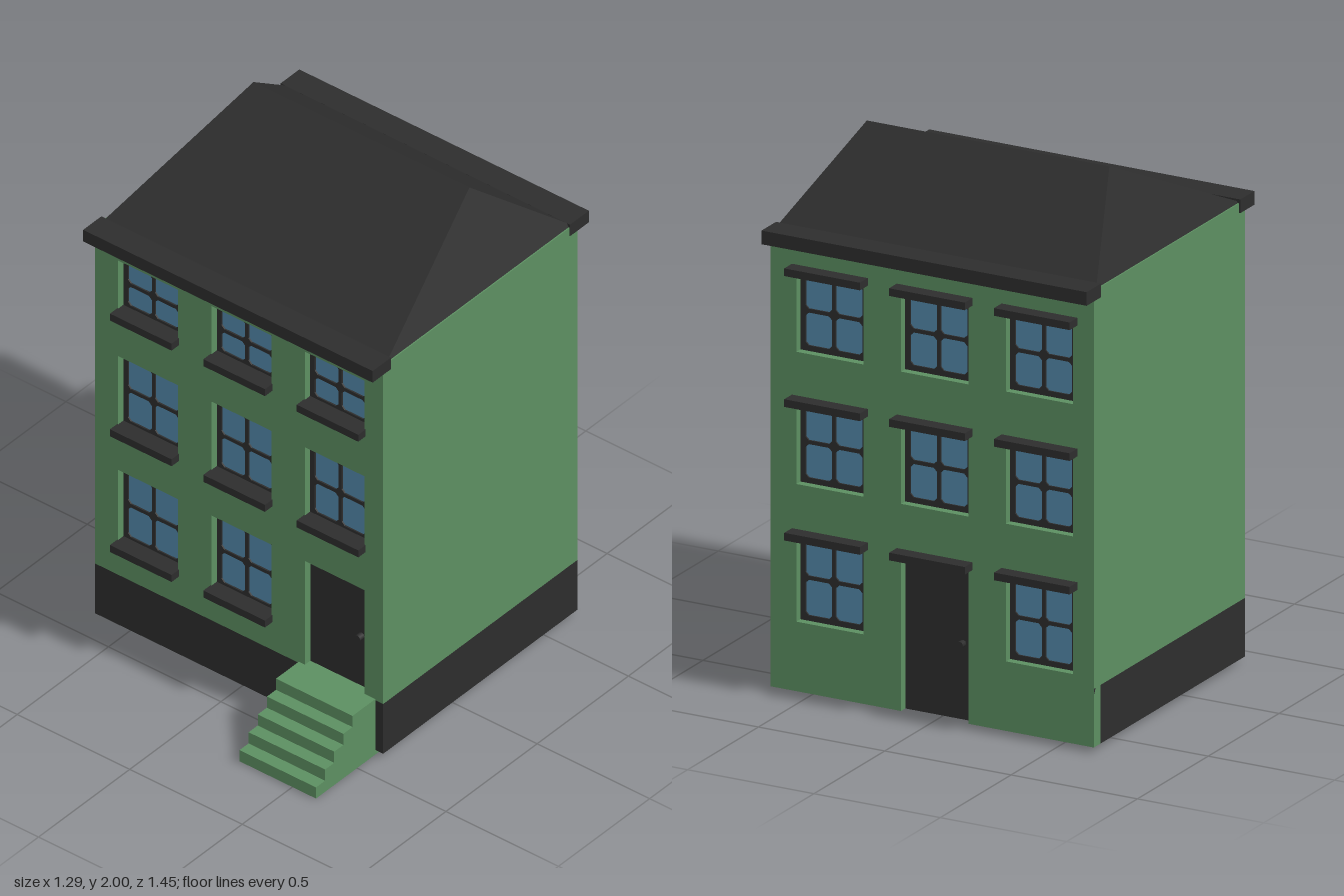
import * as THREE from 'three';

const mat = (name, color) => {
  const m = new THREE.MeshStandardMaterial({ color, side: THREE.DoubleSide });
  m.name = name;
  return m;
};

export function createModel() {
  const green = mat('green wall', 0x5c8f61);
  const dark = mat('charcoal trim', 0x2d2d2d);
  const blue = mat('blue glass', 0x5389ab);

  const house = new THREE.Group();
  house.name = 'townHouse';

  const add = (parent, name, geometry, material) => {
    const mesh = new THREE.Mesh(geometry, material);
    mesh.name = name;
    parent.add(mesh);
    return mesh;
  };
  // box given by its lower and upper limits on each axis
  const box = (parent, name, material, x0, x1, y0, y1, z0, z1) => {
    const mesh = add(parent, name, new THREE.BoxGeometry(x1 - x0, y1 - y0, z1 - z0), material);
    mesh.position.set((x0 + x1) / 2, (y0 + y1) / 2, (z0 + z1) / 2);
    return mesh;
  };
  const points = list => list.map(([x, y]) => new THREE.Vector2(x, y));
  const rect = (x0, x1, y0, y1) => points([[x0, y0], [x1, y0], [x1, y1], [x0, y1]]);
  const extrude = (shape, depth) => new THREE.ExtrudeGeometry(shape, { depth, bevelEnabled: false });

  const W = 0.64, TOP = 1.695, THICK = 0.045;
  const COLUMNS = [-0.405, 0.01, 0.425], HALF = 0.133;

  // four panes with clipped corners set in a dark frame
  const windowUnit = (parent, cx, y0, y1) => {
    const unit = new THREE.Group();
    unit.name = 'window';
    unit.position.set(cx, (y0 + y1) / 2, -THICK);
    parent.add(unit);
    const h = (y1 - y0) / 2, border = 0.02, bar = 0.007, c = 0.013;
    const shape = new THREE.Shape(rect(-HALF, HALF, -h, h));
    for (const sx of [-1, 1]) for (const sy of [-1, 1]) {
      const a = bar, b = HALF - border, d = bar, e = h - border;
      const pane = [[a + c, d], [b - c, d], [b, d + c], [b, e - c], [b - c, e], [a + c, e], [a, e - c], [a, d + c]];
      shape.holes.push(new THREE.Path(points(pane.map(([x, y]) => [x * sx, y * sy]))));
    }
    add(unit, 'windowFrame', extrude(shape, 0.016), dark);
    box(unit, 'glass', blue, -HALF, HALF, -h, h, 0.003, 0.01);
  };

  const door = (parent, cx, y0, y1) => {
    box(parent, 'door', dark, cx - HALF, cx + HALF, y0, y1, -THICK, -THICK + 0.015);
    const knob = add(parent, 'doorKnob', new THREE.CylinderGeometry(0.013, 0.013, 0.025, 8), dark);
    knob.rotation.x = Math.PI / 2;
    knob.position.set(cx + 0.095, y0 + (y1 - y0) * 0.49, -THICK + 0.026);
  };

  // wall with openings; its outer face lies on local z = 0
  const facade = (name, bottom, doorColumn, doorTop, rows) => {
    const group = new THREE.Group();
    group.name = name;
    house.add(group);
    const dx = COLUMNS[doorColumn];
    const shape = new THREE.Shape(points([
      [-W, bottom], [dx - HALF, bottom], [dx - HALF, doorTop], [dx + HALF, doorTop],
      [dx + HALF, bottom], [W, bottom], [W, TOP], [-W, TOP],
    ]));
    rows.forEach(([y0, y1], row) => COLUMNS.forEach((cx, column) => {
      if (row === 0 && column === doorColumn) return;
      shape.holes.push(new THREE.Path(rect(cx - HALF, cx + HALF, y0, y1)));
      windowUnit(group, cx, y0, y1);
    }));
    add(group, 'wall', extrude(shape, THICK), green).position.z = -THICK;
    door(group, dx, bottom, doorTop);
    return group;
  };

  // front: sills below the windows
  const frontRows = [[0.375, 0.688], [0.875, 1.18], [1.375, 1.593]];
  const front = facade('frontFacade', 0.235, 2, 0.688, frontRows);
  front.position.z = 0.4;
  frontRows.forEach(([y0], row) => COLUMNS.forEach((cx, column) => {
    if (row === 0 && column === 2) return;
    box(front, 'windowSill', dark, cx - 0.137, cx + 0.137, y0 - 0.02, y0 + 0.01, -0.03, 0.04);
  }));

  // back: ledges above the windows and the door
  const backRows = [[0.275, 0.59], [0.78, 1.08], [1.265, 1.56]];
  const back = facade('backFacade', 0.02, 1, 0.59, backRows);
  back.rotation.y = Math.PI;
  back.position.z = -0.665;
  for (const [, y1] of backRows) for (const cx of COLUMNS) {
    box(back, 'windowLedge', dark, cx - 0.15, cx + 0.15, y1 - 0.003, y1 + 0.025, 0, 0.055);
  }

  // side walls and base
  for (const s of [-1, 1]) {
    const x0 = s < 0 ? -W : W - 0.01;
    box(house, 'sideWall', green, x0, x0 + 0.01, 0.235, TOP, -0.664, 0.399);
    box(house, 'sideBase', dark, x0, x0 + 0.01, 0.02, 0.235, -0.664, 0.399);
  }
  box(house, 'frontBase', dark, -W, 0.267, 0.02, 0.235, 0.39, 0.4);
  box(house, 'frontBaseEnd', dark, 0.603, W, 0.02, 0.235, 0.39, 0.4);

  // hollow front steps: side panels with treads and risers between them
  const stairs = new THREE.Group();
  stairs.name = 'frontSteps';
  house.add(stairs);
  const X0 = 0.265, X1 = 0.605, N = 5, RISE = 0.048, RUN = 0.05, NOSE = 0.725;
  const profile = [[0.36, 0], [NOSE, 0]];
  for (let i = 0; i < N; i++) {
    const z = NOSE - i * RUN, y = (i + 1) * RISE;
    const zBack = i === N - 1 ? 0.36 : z - RUN;
    profile.push([z, y], [zBack, y]);
    box(stairs, 'tread', green, X0, X1, y - 0.006, y, zBack, z);
    box(stairs, 'riser', green, X0, X1, y - RISE, y, z - 0.006, z);
  }
  for (const x of [X0, X1 - 0.008]) {
    const panel = add(stairs, 'stepSide', extrude(new THREE.Shape(points(profile)), 0.008), green);
    panel.rotation.y = -Math.PI / 2;
    panel.position.x = x + 0.008;
  }

  // hipped roof with an off-centre ridge
  const E = 0.635, EY = 1.695, ZF = 0.375, ZB = -0.64;
  const a = [-E, EY, ZF], b = [E, EY, ZF], c = [E, EY, ZB], d = [-E, EY, ZB];
  const l = [-0.48, 2, -0.27], r = [0.48, 2, -0.27];
  const faces = [a, b, r, a, r, l, b, c, r, c, d, l, c, l, r, d, a, l];
  const roof = new THREE.BufferGeometry();
  roof.setAttribute('position', new THREE.Float32BufferAttribute(faces.flat(), 3));
  roof.computeVertexNormals();
  add(house, 'roof', roof, dark);

  // cornices along the front and back eaves
  box(house, 'frontCornice', dark, -0.645, 0.642, 1.66, 1.71, 0.36, 0.46);
  box(house, 'backCornice', dark, -0.645, 0.642, 1.66, 1.71, -0.725, -0.622);

  return house;
}
